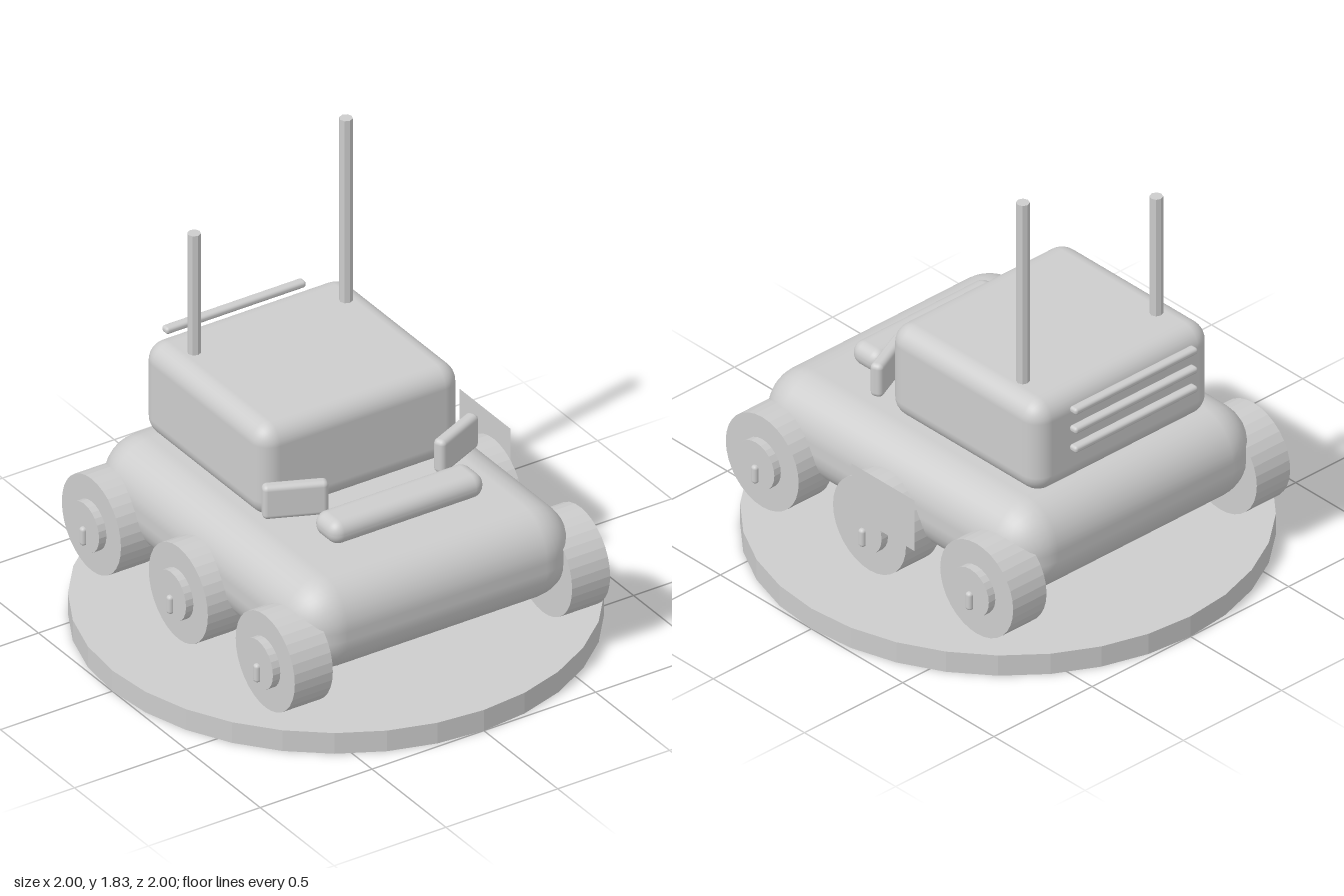
import * as THREE from 'three';
import { RoundedBoxGeometry } from 'three/addons/geometries/RoundedBoxGeometry.js';

export function createModel() {
  const model = new THREE.Group();
  model.name = 'sixWheeledRover';

  const grey = new THREE.MeshStandardMaterial({ color: 0xcccccc });
  grey.name = 'light grey';
  const greyFaceted = grey.clone();
  greyFaceted.flatShading = true;
  const greySheet = grey.clone();
  greySheet.side = THREE.DoubleSide;

  const add = (name, geometry, x, y, z, material = grey, parent = model) => {
    const mesh = new THREE.Mesh(geometry, material);
    mesh.name = name;
    mesh.position.set(x, y, z);
    parent.add(mesh);
    return mesh;
  };
  const rounded = (w, h, d, r, segments = 4) => new RoundedBoxGeometry(w, h, d, segments, r);

  // Display base
  add('base', new THREE.CylinderGeometry(1, 1, 0.09, 32), 0, 0.045, 0, greyFaceted);

  // Body and cabin
  add('body', rounded(1.24, 0.39, 1.51, 0.175), 0, 0.435, 0);
  add('cabin', rounded(0.9, 0.4, 0.825, 0.08), 0, 0.83, -0.23);

  // Front bumper
  add('bumper', rounded(0.685, 0.1, 0.155, 0.048), 0, 0.7, 0.428);

  // Angled head lamps
  for (const side of [-1, 1]) {
    const lamp = add('headLamp', rounded(0.25, 0.145, 0.052, 0.02), side * 0.36, 0.763, 0.267);
    lamp.rotation.y = side * 0.42;
  }

  // Antennas of unequal height
  for (const [x, top] of [[-0.337, 1.55], [0.342, 1.825]]) {
    add('antenna', new THREE.CylinderGeometry(0.026, 0.026, top - 1.0, 8), x, (top + 1.0) / 2, -0.45, greyFaceted);
  }

  // Rear louvre bars
  for (const y of [0.825, 0.91, 0.995]) {
    add('rearBar', rounded(0.625, 0.028, 0.04, 0.012, 3), 0, y, -0.69);
  }

  // Wheels with hub and valve, mirrored left and right
  const tyre = new THREE.CylinderGeometry(0.2, 0.2, 0.17, 32).rotateZ(Math.PI / 2);
  const hub = new THREE.CylinderGeometry(0.102, 0.102, 0.035, 24).rotateZ(Math.PI / 2);
  const valve = rounded(0.04, 0.078, 0.03, 0.013, 3);
  for (const side of [-1, 1]) {
    for (const z of [-0.588, 0, 0.588]) {
      const wheel = new THREE.Group();
      wheel.name = 'wheel';
      wheel.position.set(0, 0.33, z);
      add('tyre', tyre, side * 0.62, 0, 0, greyFaceted, wheel);
      add('hub', hub, side * 0.7205, 0, 0, greyFaceted, wheel);
      add('valve', valve, side * 0.735, -0.037, 0, grey, wheel);
      model.add(wheel);
    }
  }

  // Thin panel on the left side only
  const panel = add('sidePanel', new THREE.PlaneGeometry(0.345, 0.225), 0.74, 0.48, -0.113, greySheet);
  panel.rotation.y = Math.PI / 2;

  return model;
}
